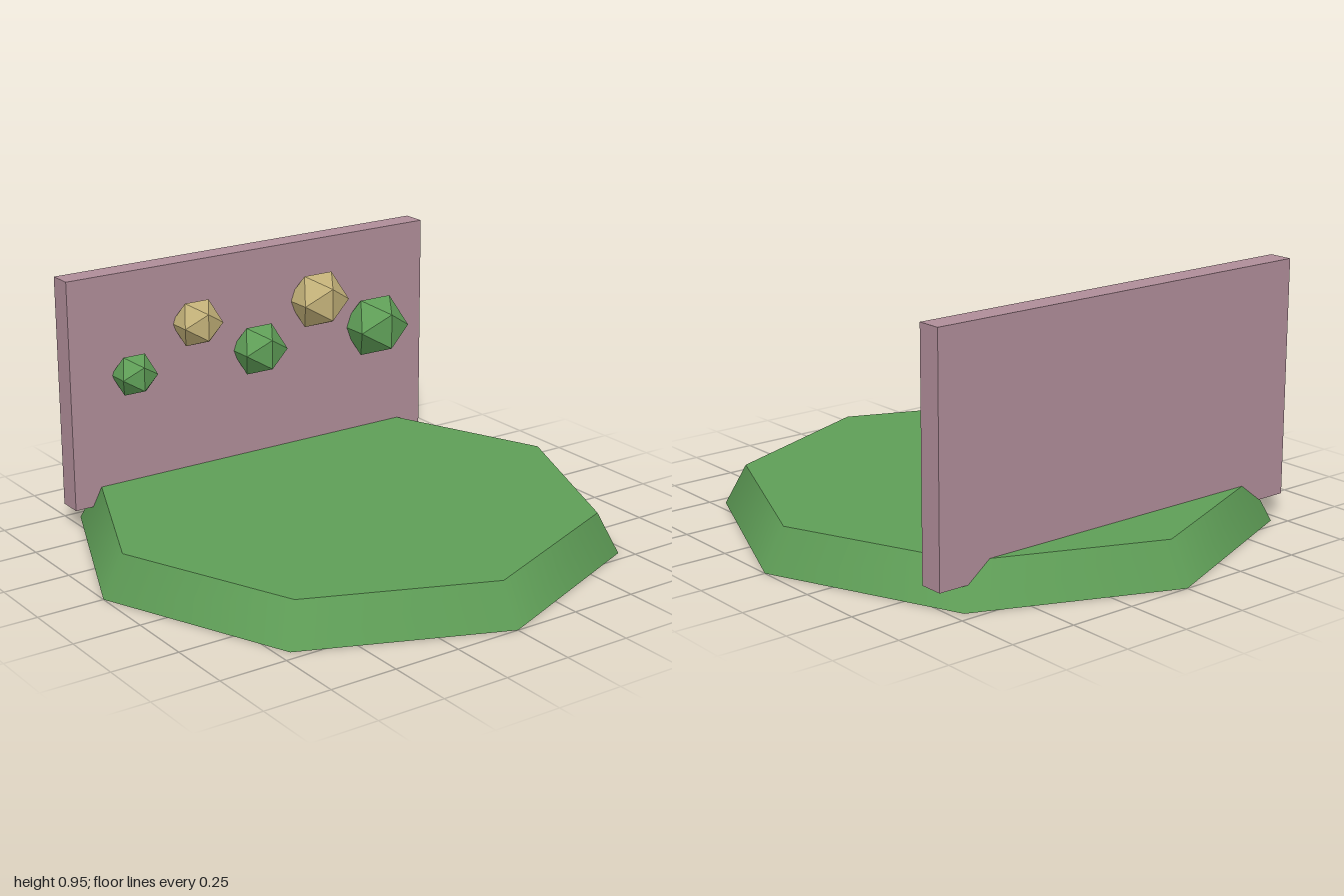
import * as THREE from 'three';

export function createModel() {
  const model = new THREE.Group();
  const add = (name, geometry, color, x, y, z, flatShading = false) => {
    const mesh = new THREE.Mesh(geometry, new THREE.MeshStandardMaterial({ color, flatShading }));
    mesh.name = name;
    mesh.position.set(x, y, z);
    model.add(mesh);
  };
  const green = 0x5f9e57, gold = 0xc2b078, mauve = 0xb08d99;

  // Eight-sided tapered base
  add('base', new THREE.CylinderGeometry(0.92, 1, 0.15, 8), green, 0, 0.075, 0);

  // Upright panel sunk into the back of the base
  add('backPanel', new THREE.BoxGeometry(1.57, 0.87, 0.09), mauve, 0, 0.515, -0.635);

  // Row of faceted knobs, growing towards +x and alternating in height and colour
  [0.085, 0.096, 0.107, 0.118, 0.13].forEach((radius, i) => {
    const high = i % 2 === 1;
    add(`knob${i + 1}`, new THREE.IcosahedronGeometry(radius, 0), high ? gold : green,
      (i - 2) * 0.27, high ? 0.72 : 0.57, -0.555, true);
  });

  return model;
}
